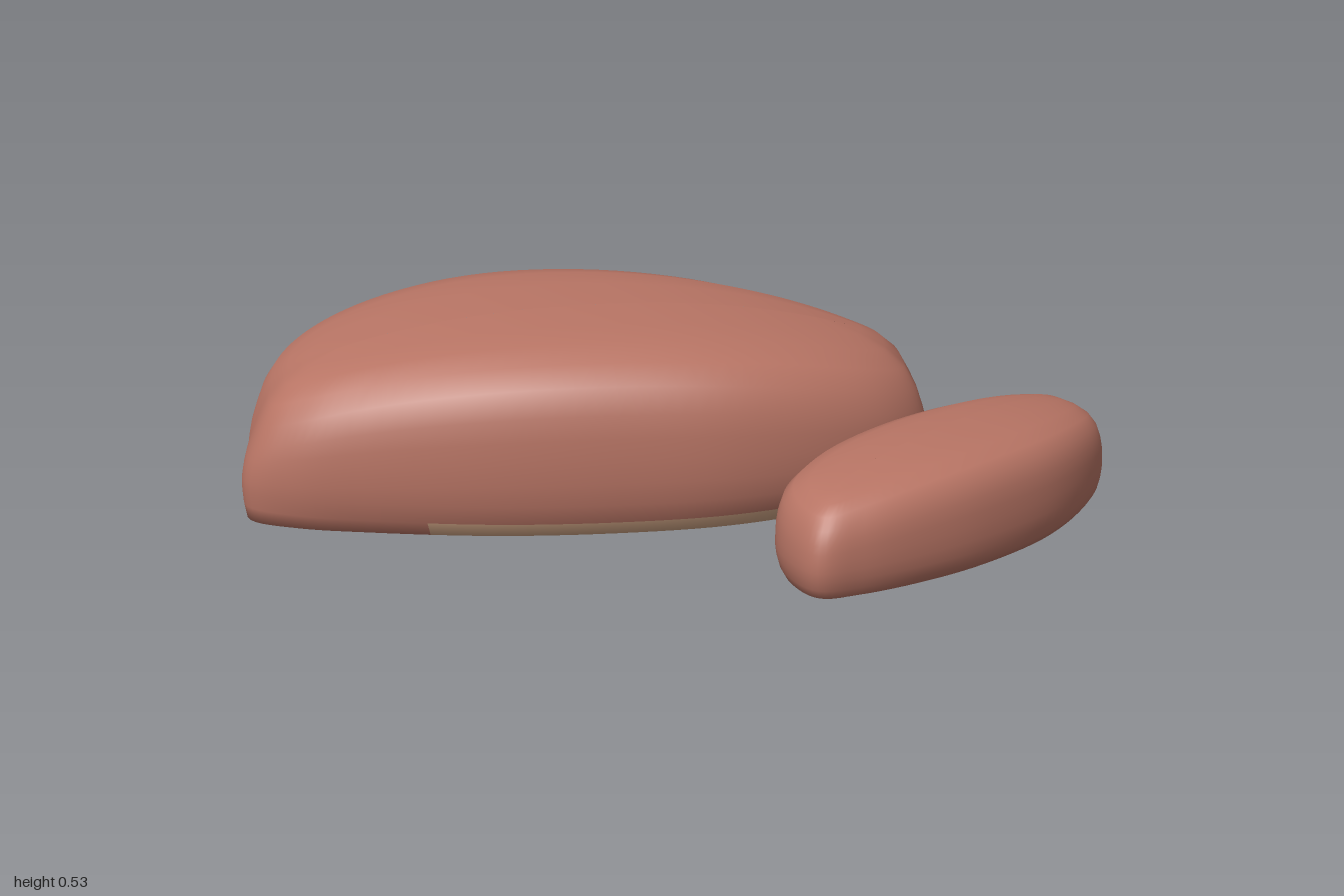
import * as THREE from 'three';

const meat = new THREE.MeshStandardMaterial({ color: 0xb77464 });
meat.name = 'meat red';
const fat = new THREE.MeshStandardMaterial({ color: 0xd0a585 });
fat.name = 'pale fat';

// Cross-section from underside to top: [inset towards spine, fraction of height]
const PROFILE = [
  [1, 0], [0.6, 0.005], [0.3, 0.025], [0.13, 0.065], [0.06, 0.14], [0.02, 0.24], [0, 0.36],
  [0, 0.48], [0.005, 0.6], [0.025, 0.72], [0.08, 0.85], [0.2, 0.93], [0.4, 0.975], [0.65, 0.995], [1, 1],
];
const STEPS = 6; // columns per outline point

// Lofts a rounded slab from a plan outline, inset towards the spine from a to b.
// ends: [lean of the upper side, sharpness of the lower edge] for each end
function slab({ outline, a, b, height, drop, lift, tilt, ends, isFat }) {
  const curve = new THREE.CatmullRomCurve3(outline.map(([x, z]) => new THREE.Vector3(x, 0, z)), true, 'centripetal');
  const cols = outline.length * STEPS;
  const start = new THREE.Vector3(a[0], 0, a[1]);
  const end = new THREE.Vector3(b[0], 0, b[1]);
  const mid = start.clone().add(end).multiplyScalar(0.5);
  const half = start.distanceTo(end) / 2;
  const axis = end.clone().sub(start).normalize();
  const across = new THREE.Vector3(axis.z, 0, -axis.x);
  const positions = [];

  for (const [inset, f] of PROFILE) {
    // The upper part slopes down towards the ends
    const slope = THREE.MathUtils.clamp((f - 0.2) / 0.6, 0, 1);
    for (let j = 0; j < cols; j++) {
      const p = curve.getPoint(j / cols);
      const along = p.clone().sub(mid).dot(axis);
      const spine = mid.clone().addScaledVector(axis, along * 0.72);
      const [lean, sharp] = ends[along < 0 ? 0 : 1];
      const tip = Math.min(1, Math.pow(Math.abs(along) / half, 6));
      p.lerp(spine, f < 0.36 && inset < 0.2 ? inset * (1 - sharp * tip) : inset);
      const offset = p.clone().sub(mid);
      const u = offset.dot(axis) / half;
      const base = lift * u * u;
      const sink = drop * Math.pow(Math.abs(u), 2.2) - tilt * offset.dot(across);
      p.addScaledVector(axis, -lean * f * f * Math.sign(u) * Math.pow(Math.abs(u), 6));
      positions.push(p.x, base + f * (height - base) - slope * sink, p.z);
    }
  }

  // Faces sorted into meat and fat groups
  const faces = [[], []];
  for (let r = 0; r < PROFILE.length - 1; r++) {
    for (let j = 0; j < cols; j++) {
      const k = (j + 1) % cols;
      const p = r * cols + j, q = r * cols + k;
      faces[isFat(r, j / STEPS) ? 1 : 0].push(p, p + cols, q, q, p + cols, q + cols);
    }
  }
  const geo = new THREE.BufferGeometry();
  geo.setAttribute('position', new THREE.Float32BufferAttribute(positions, 3));
  geo.setIndex([...faces[0], ...faces[1]]);
  geo.addGroup(0, faces[0].length, 0);
  if (faces[1].length) geo.addGroup(faces[0].length, faces[1].length, 1);
  geo.computeVertexNormals();
  return new THREE.Mesh(geo, [meat, fat]);
}

export function createModel() {
  const group = new THREE.Group();

  // Large cut: fat underside, rising at the front, and a fat strip along the back edge
  const large = slab({
    outline: [
      [-1, -0.41], [-0.925, -0.56], [-0.84, -0.7], [-0.7, -0.79], [-0.51, -0.82], [-0.24, -0.77],
      [0.03, -0.635], [0.3, -0.42], [0.47, -0.245], [0.55, -0.155], [0.65, -0.02], [0.705, 0.09],
      [0.63, 0.24], [0.57, 0.32], [0.43, 0.375], [0.24, 0.38], [-0.025, 0.32], [-0.29, 0.195],
      [-0.56, 0.03], [-0.8, -0.16], [-0.935, -0.29],
    ],
    a: [-0.95, -0.52], b: [0.66, 0.17],
    height: 0.52, drop: 0.155, lift: 0.018, tilt: 0.07,
    ends: [[0.05, 0.6], [0.02, 0]],
    isFat: (row, point) => row < 3
      || (row === 3 && point >= 15 && point < 18.5)
      || (row >= 7 && row < 10 && point >= 2.2 && point < 8.2),
  });
  large.name = 'largeCut';
  group.add(large);

  // Small cut: slimmer strip lying in front
  const small = slab({
    outline: [
      [-0.13, 0.645], [-0.085, 0.54], [0.045, 0.465], [0.3, 0.41], [0.565, 0.385], [0.83, 0.378],
      [0.985, 0.395], [1, 0.5], [0.92, 0.605], [0.78, 0.7], [0.59, 0.777], [0.35, 0.815],
      [0.17, 0.815], [-0.02, 0.79], [-0.125, 0.75],
    ],
    a: [-0.12, 0.69], b: [0.99, 0.44],
    height: 0.302, drop: 0.065, lift: 0.008, tilt: 0.03,
    ends: [[0.01, 0], [0.06, 0.8]],
    isFat: () => false,
  });
  small.name = 'smallCut';
  group.add(small);

  return group;
}
